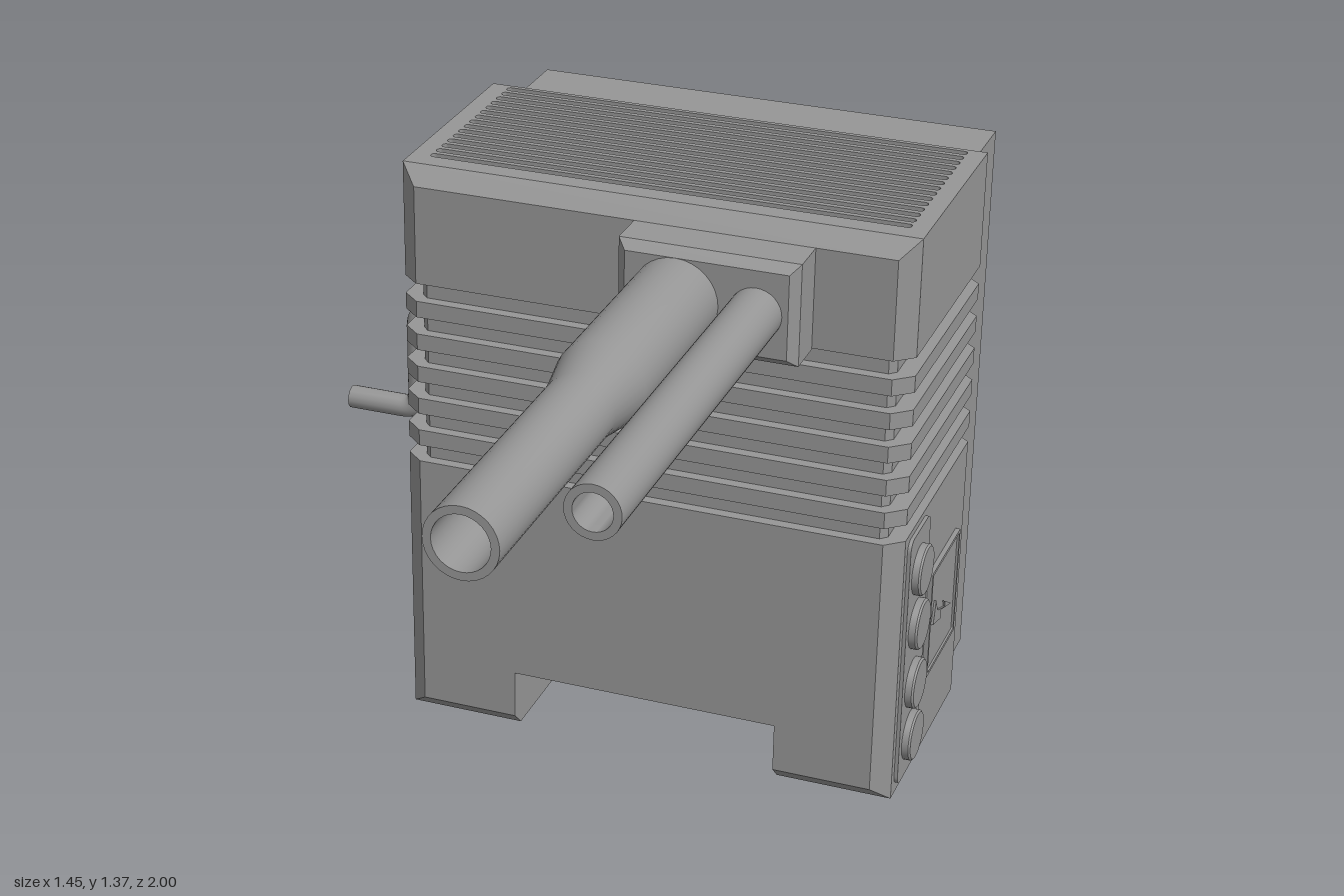
import * as THREE from 'three';
import { toCreasedNormals } from 'three/addons/utils/BufferGeometryUtils.js';

const gray = new THREE.MeshStandardMaterial({ color: 0x969696 });
gray.name = 'plain gray';

// Solid through rectangles [z, x0, x1, y0, y1], listed front to back
function loft(rings) {
  const r = rings.map(([z, x0, x1, y0, y1]) => [[x0, y0, z], [x1, y0, z], [x1, y1, z], [x0, y1, z]]);
  const pos = [];
  const quad = (a, b, c, d) => pos.push(...a, ...b, ...c, ...a, ...c, ...d);
  const last = r[r.length - 1];
  quad(...r[0]);
  quad(last[3], last[2], last[1], last[0]);
  for (let i = 0; i + 1 < r.length; i++) {
    for (let j = 0; j < 4; j++) {
      const k = (j + 1) % 4;
      quad(r[i][j], r[i + 1][j], r[i + 1][k], r[i][k]);
    }
  }
  const g = new THREE.BufferGeometry();
  g.setAttribute('position', new THREE.Float32BufferAttribute(pos, 3));
  g.computeVertexNormals();
  return g;
}

// Rounded rectangle outline, for a Shape or a hole Path
function rounded(path, x0, y0, x1, y1, r) {
  path.absarc(x1 - r, y0 + r, r, -Math.PI / 2, 0);
  path.absarc(x1 - r, y1 - r, r, 0, Math.PI / 2);
  path.absarc(x0 + r, y1 - r, r, Math.PI / 2, Math.PI);
  path.absarc(x0 + r, y0 + r, r, Math.PI, Math.PI * 1.5);
  path.closePath();
  return path;
}

const extrude = (shape, depth) =>
  new THREE.ExtrudeGeometry(shape, { depth, bevelEnabled: false, curveSegments: 6 });

const lathe = (pts, seg = 32) => toCreasedNormals(
  new THREE.LatheGeometry(pts.map(p => new THREE.Vector2(...p)), seg), 0.5);

export function createModel() {
  const group = new THREE.Group();
  const add = (name, geometry, x = 0, y = 0, z = 0) => {
    const m = new THREE.Mesh(geometry, gray);
    m.name = name;
    m.position.set(x, y, z);
    group.add(m);
    return m;
  };

  // Main casing, bevelled around the front and the back
  const L = -0.455, R = 0.695, B = 0.04;
  const slab = (y0, y1) => loft([
    [-0.23, L + B, R - B, y0, y1], [-0.265, L, R, y0, y1],
    [-0.77, L, R, y0, y1], [-0.805, L + B, R - B, y0, y1]]);
  add('lowerCasing', slab(0.175, 0.675));
  add('backBox', loft([[-0.79, L + B, R - B, 0.025, 1.33], [-1, L + B, R - B, 0.025, 1.33]]));

  // Feet either side of the sloped front notch
  const N0 = -0.19, N1 = 0.43;
  add('rightFoot', loft([
    [-0.23, L + B, N0, 0.06, 0.175], [-0.265, L, N0, 0.025, 0.175],
    [-0.77, L, N0, 0.025, 0.175], [-0.805, L + B, N0, 0.025, 0.175]]));
  add('leftFoot', loft([
    [-0.23, N1, R - B, 0.06, 0.175], [-0.265, N1, R, 0.025, 0.175],
    [-0.77, N1, R, 0.025, 0.175], [-0.805, N1, R - B, 0.025, 0.175]]));
  add('notchSlope', loft([
    [-0.23, N0, N1, 0.174, 0.175], [-0.55, N0, N1, 0.025, 0.175], [-0.805, N0, N1, 0.025, 0.175]]));
  const slopePlate = add('notchPanel',
    extrude(rounded(new THREE.Shape(), -0.285, -0.14, 0.285, 0.14, 0.02), 0.008).translate(0, 0, -0.004),
    0.12, 0.1, -0.39);
  slopePlate.rotation.x = -Math.PI / 2 - Math.atan2(0.15, 0.32);

  // Ribbed band around a recessed core
  add('ribCore', loft([
    [-0.255, -0.4, 0.64, 0.67, 1.11], [-0.27, -0.415, 0.655, 0.67, 1.11], [-0.85, -0.415, 0.655, 0.67, 1.11]]));
  for (let i = 0; i < 5; i++) {
    const y = 0.714 + i * 0.0778;
    add('rib', slab(y, y + 0.038));
  }
  add('crankMount', loft([[-0.4, L, -0.38, 0.67, 1.11], [-0.65, L, -0.38, 0.67, 1.11]]));

  // Upper casing with a slotted lid
  add('upperCasing', loft([
    [-0.23, L + B, R - B, 1.105, 1.33], [-0.265, L, R, 1.105, 1.37],
    [-0.2651, L, R, 1.105, 1.352], [-0.7699, L, R, 1.105, 1.352],
    [-0.77, L, R, 1.105, 1.37], [-0.805, L + B, R - B, 1.105, 1.33]]));
  const lid = rounded(new THREE.Shape(), L, 0.265, R, 0.77, 0.0005);
  for (let i = 0; i < 15; i++) {
    const s = 0.311 + i * 0.0307;
    lid.holes.push(rounded(new THREE.Path(), -0.413, s, 0.655, s + 0.018, 0.008));
  }
  add('slottedLid', extrude(lid, 0.02), 0, 1.35, 0).rotation.x = -Math.PI / 2;

  // Barrel block and two hollow barrels
  add('barrelBlock', loft([
    [-0.12, 0.105, 0.46, 1.12, 1.31], [-0.14, 0.085, 0.48, 1.102, 1.33], [-0.25, 0.085, 0.48, 1.102, 1.33]]));
  add('largeBarrel', lathe([[0.095, -0.15], [0.095, 0.31], [0.075, 0.42], [0.075, 1],
    [0.058, 1], [0.058, 0.5], [0, 0.5]]), 0.215, 1.215, 0).rotation.x = Math.PI / 2;
  add('smallBarrel', lathe([[0.057, -0.15], [0.057, 0.805],
    [0.04, 0.805], [0.04, 0.4], [0, 0.4]]), 0.39, 1.215, 0).rotation.x = Math.PI / 2;

  // Crank handle
  const V = (x, y) => new THREE.Vector3(x, y, -0.545);
  const crank = new THREE.CurvePath();
  crank.add(new THREE.LineCurve3(V(-0.45, 0.888), V(-0.51, 0.888)));
  crank.add(new THREE.QuadraticBezierCurve3(V(-0.51, 0.888), V(-0.553, 0.888), V(-0.553, 0.845)));
  crank.add(new THREE.LineCurve3(V(-0.553, 0.845), V(-0.553, 0.68)));
  crank.add(new THREE.QuadraticBezierCurve3(V(-0.553, 0.68), V(-0.553, 0.637), V(-0.596, 0.637)));
  crank.add(new THREE.LineCurve3(V(-0.596, 0.637), V(-0.725, 0.637)));
  add('crankHandle', new THREE.TubeGeometry(crank, 64, 0.027, 14));
  add('crankTip', new THREE.CircleGeometry(0.027, 14), -0.725, 0.637, -0.545).rotation.y = -Math.PI / 2;
  add('crankHub', lathe([[0.08, 0], [0.08, 0.008], [0.06, 0.022], [0, 0.022]], 24),
    L, 0.888, -0.545).rotation.z = Math.PI / 2;

  // Side knob
  add('sideKnob', lathe([[0.093, 0], [0.093, 0.013], [0.08, 0.013], [0.08, 0.042], [0, 0.042]]),
    L, 0.35, -0.53).rotation.z = Math.PI / 2;

  // Button panel and warning plate
  const sidePlate = (name, shape, depth, x) => {
    add(name, extrude(shape, depth), x).rotation.y = Math.PI / 2;
  };
  sidePlate('buttonPanel', rounded(new THREE.Shape(), 0.285, 0.045, 0.44, 0.66, 0.025), 0.011, 0.692);
  for (const y of [0.14, 0.275, 0.425, 0.56]) {
    add('button', lathe([[0.058, 0], [0.058, 0.018], [0.054, 0.022], [0, 0.022]]),
      0.7, y, -0.362).rotation.z = -Math.PI / 2;
  }
  sidePlate('warningPlate', rounded(new THREE.Shape(), 0.48, 0.22, 0.71, 0.485, 0.003), 0.009, 0.692);
  const frame = rounded(new THREE.Shape(), 0.48, 0.22, 0.71, 0.485, 0.003);
  frame.holes.push(rounded(new THREE.Path(), 0.488, 0.228, 0.702, 0.477, 0.003));
  sidePlate('warningFrame', frame, 0.006, 0.7);
  const bolt = new THREE.Shape([[0.51, 0.34], [0.58, 0.322], [0.575, 0.345], [0.665, 0.315], [0.605, 0.352],
    [0.612, 0.334], [0.545, 0.36], [0.525, 0.395]].map(p => new THREE.Vector2(...p)));
  sidePlate('warningBolt', bolt, 0.006, 0.7);

  // Underside: pads, fasteners and a low pull handle
  for (const [x0, x1] of [[-0.41, -0.215], [0.455, 0.65]]) {
    const pad = rounded(new THREE.Shape(), x0, 0.28, x1, 0.53, 0.03);
    add('footPad', extrude(pad, 0.006), 0, 0.021, 0).rotation.x = -Math.PI / 2;
  }
  for (const x of [-0.245, 0.485]) {
    add('fastener', new THREE.CylinderGeometry(0.038, 0.038, 0.022, 20), x, 0.017, -0.71).scale.z = 1.4;
  }
  const pull = new THREE.Shape([[-0.015, 0.027], [0.012, 0], [0.228, 0], [0.255, 0.027],
    [0.243, 0.027], [0.223, 0.008], [0.017, 0.008], [-0.003, 0.027]].map(p => new THREE.Vector2(...p)));
  add('pullHandle', extrude(pull, 0.034), 0, 0, -0.9);

  return group;
}
